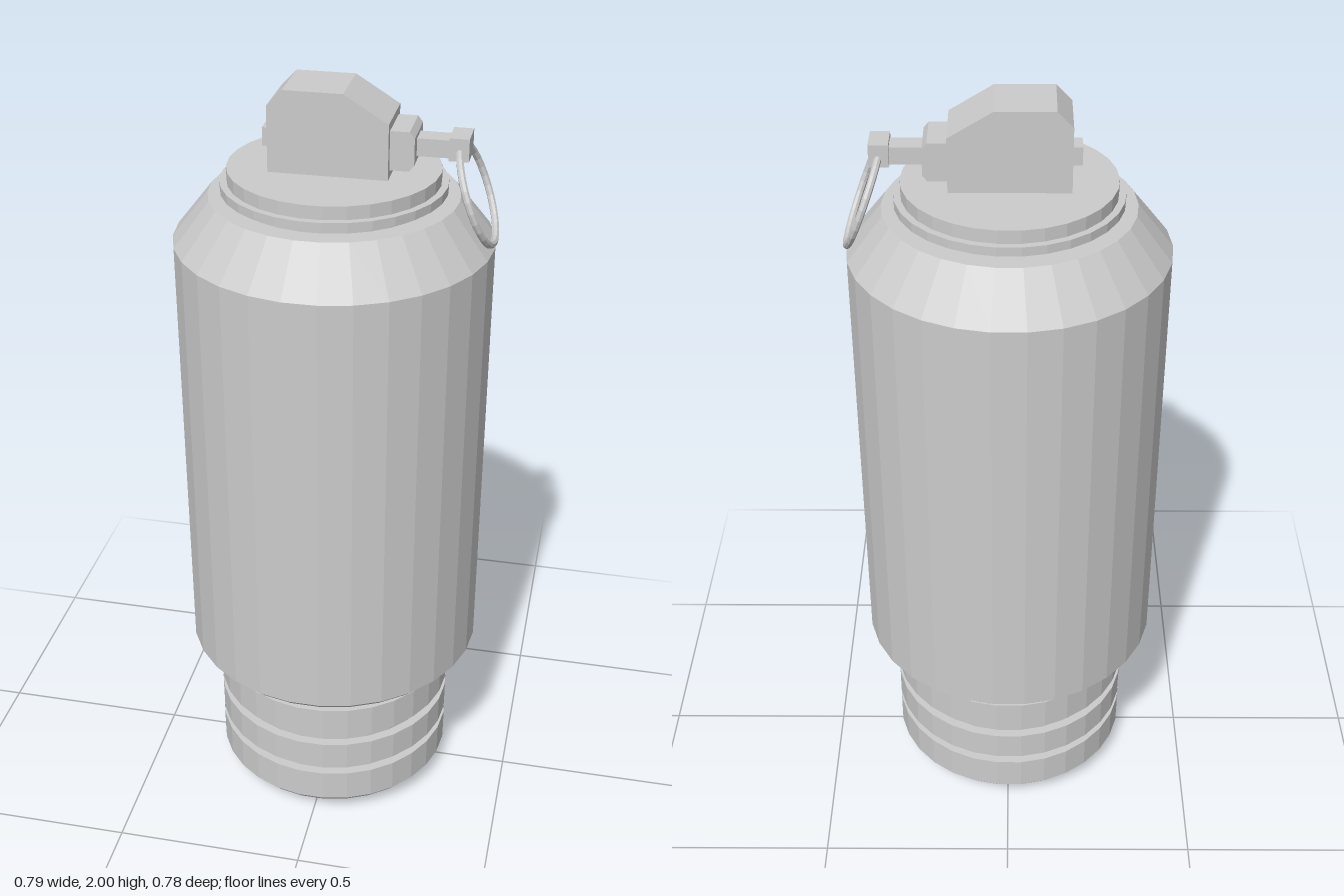
import * as THREE from 'three';

const material = new THREE.MeshStandardMaterial({ color: 0xcccccc, flatShading: true });
const CX = -0.003, CZ = -0.002; // axis of the canister

export function createModel() {
  const model = new THREE.Group();

  const add = (name, geometry, x = 0, y = 0, z = CZ) => {
    const mesh = new THREE.Mesh(geometry, material);
    mesh.name = name;
    mesh.position.set(x, y, z);
    model.add(mesh);
    return mesh;
  };

  // 30-sided turned part, with a corner on the x axis
  const turned = (name, profile) => {
    const points = profile.map(([r, y]) => new THREE.Vector2(r, y));
    add(name, new THREE.LatheGeometry(points, 30).rotateY(Math.PI / 2), CX);
  };

  // Box given by its x and y ranges and its depth
  const block = (name, x0, x1, y0, y1, depth) =>
    add(name, new THREE.BoxGeometry(x1 - x0, y1 - y0, depth), (x0 + x1) / 2, (y0 + y1) / 2);

  // Side outline extruded across z
  const slab = (name, outline, depth) => {
    const shape = new THREE.Shape(outline.map(([x, y]) => new THREE.Vector2(x, y)));
    const geometry = new THREE.ExtrudeGeometry(shape, { depth, bevelEnabled: false });
    add(name, geometry.translate(0, 0, -depth / 2));
  };

  // Grooved base with its foot
  turned('groovedBase', [
    [0, 0], [0.213, 0], [0.213, 0.026], [0.268, 0.026], [0.305, 0.045], [0.322, 0.065],
    [0.322, 0.155], [0.298, 0.155], [0.298, 0.18],
    [0.322, 0.18], [0.322, 0.26], [0.298, 0.26], [0.298, 0.29],
    [0.322, 0.29], [0.322, 0.38], [0.298, 0.38], [0.298, 0.42],
  ]);

  // Main canister with chamfered bottom and sloped shoulder
  turned('canister', [
    [0.298, 0.42], [0.347, 0.43], [0.375, 0.44], [0.394, 0.46],
    [0.394, 1.62], [0.305, 1.733], [0.255, 1.733],
  ]);

  // Cap with a thin flange
  turned('cap', [
    [0.255, 1.733], [0.255, 1.745], [0.275, 1.745], [0.275, 1.767],
    [0.258, 1.767], [0.258, 1.8], [0, 1.8],
  ]);

  // Fuse housing and the chamfered collar on its side
  slab('fuseHousing', [
    [-0.148, 1.8], [0.14, 1.8], [0.14, 1.935], [0.033, 2], [-0.11, 2], [-0.148, 1.96],
  ], 0.154);
  slab('pinCollar', [
    [0.14, 1.82], [0.186, 1.82], [0.198, 1.835], [0.198, 1.9], [0.186, 1.915], [0.14, 1.915],
  ], 0.119);

  // Safety pin: rear stub, rod and ring clip
  block('pinStub', -0.172, -0.148, 1.845, 1.89, 0.053);
  block('pinRod', 0.198, 0.275, 1.847, 1.89, 0.053);
  block('ringClip', 0.275, 0.322, 1.845, 1.9, 0.078);

  // Pull ring hanging outward from the clip
  const ring = new THREE.TorusGeometry(0.124, 0.009, 8, 30).rotateY(Math.PI / 2);
  add('pullRing', ring, 0.343, 1.755).rotation.z = 0.37;

  return model;
}
